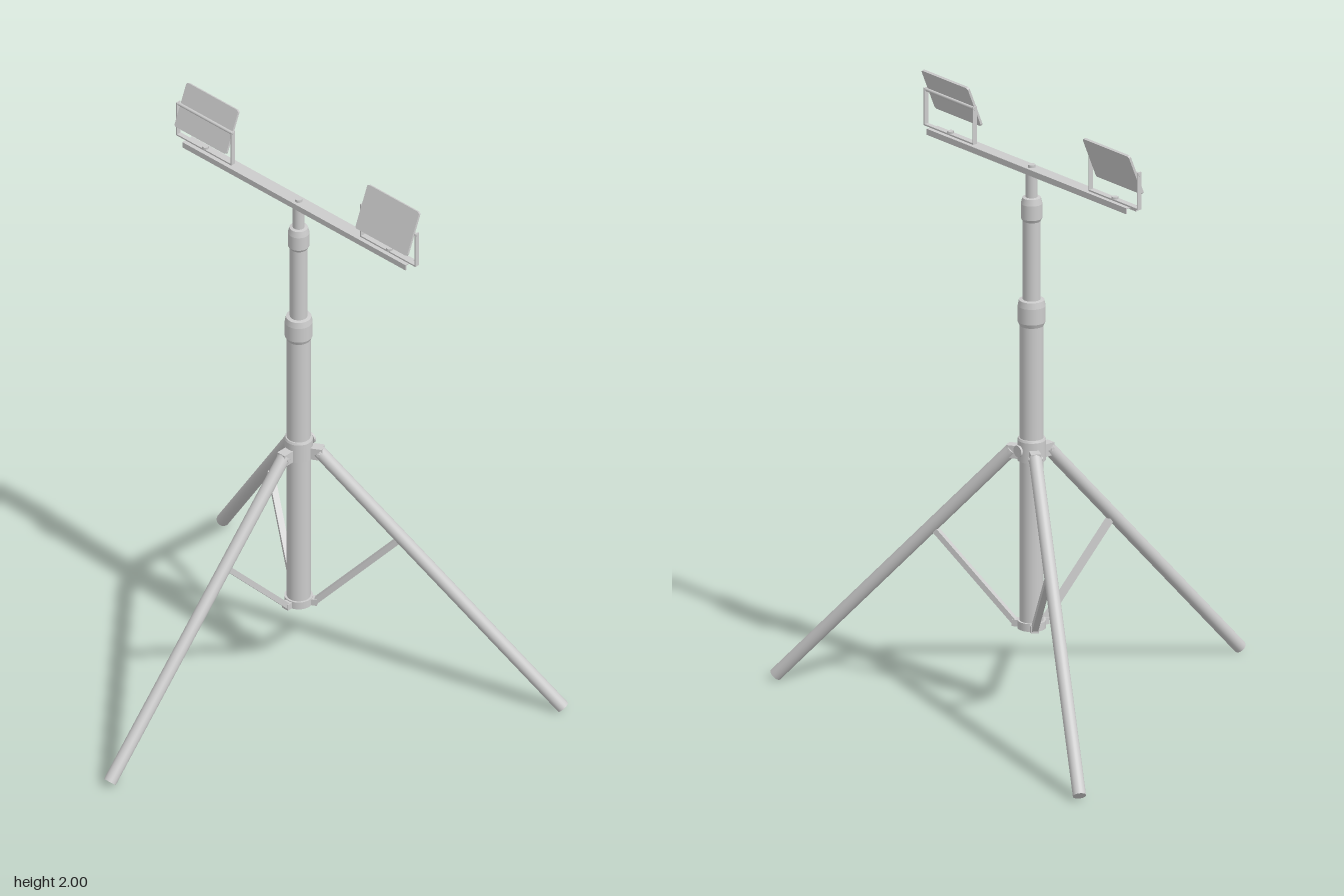
import * as THREE from 'three';

const MAST_X = 0.21;
const grey = new THREE.MeshStandardMaterial({ color: 0xcccccc, side: THREE.DoubleSide });
const V = (x, y, z) => new THREE.Vector3(x, y, z);

function add(parent, name, geometry, x = 0, y = 0, z = 0) {
  const mesh = new THREE.Mesh(geometry, grey);
  mesh.name = name;
  mesh.position.set(x, y, z);
  parent.add(mesh);
  return mesh;
}

// Places a mesh whose length runs along y between two points
function between(parent, name, a, b, makeGeometry) {
  const mesh = add(parent, name, makeGeometry(a.distanceTo(b)));
  mesh.position.lerpVectors(a, b, 0.5);
  mesh.quaternion.setFromUnitVectors(V(0, 1, 0), b.clone().sub(a).normalize());
  return mesh;
}

// Turned part with crisp edges: each profile segment is its own lathe band
function turned(parent, name, profile) {
  const group = new THREE.Group();
  group.name = name;
  for (let i = 0; i < profile.length - 1; i++) {
    const band = [profile[i], profile[i + 1]].map(([r, y]) => new THREE.Vector2(r, y));
    add(group, name + 'Band', new THREE.LatheGeometry(band, 32));
  }
  parent.add(group);
}

// Leg with its hub lug, foot lug and brace, pointing along local +x
function makeLeg(angle) {
  const leg = new THREE.Group();
  leg.name = 'leg';
  leg.rotation.y = angle;
  const top = V(0.064, 0.866, 0), foot = V(0.853, 0.018, 0);
  between(leg, 'legTube', top, foot, l => new THREE.CylinderGeometry(0.021, 0.021, l, 24));
  add(leg, 'hubLug', new THREE.BoxGeometry(0.05, 0.042, 0.032), 0.055, 0.86, 0);
  add(leg, 'braceLug', new THREE.BoxGeometry(0.03, 0.022, 0.026), 0.047, 0.291, 0);
  between(leg, 'brace', V(0.055, 0.292, 0), V(0.325, 0.57, 0),
    l => new THREE.BoxGeometry(0.018, l, 0.02));
  const pin = add(leg, 'hubPin', new THREE.CylinderGeometry(0.006, 0.006, 0.046, 12), 0.068, 0.862, 0);
  pin.rotation.x = Math.PI / 2;
  return leg;
}

// Rounded panel of the floodlight, standing in the yz plane
function panelGeometry(width, height, depth, r) {
  const w = width / 2, h = height / 2, s = new THREE.Shape();
  s.absarc(w - r, h - r, r, 0, Math.PI / 2);
  s.absarc(-w + r, h - r, r, Math.PI / 2, Math.PI);
  s.absarc(-w + r, -h + r, r, Math.PI, Math.PI * 1.5);
  s.absarc(w - r, -h + r, r, Math.PI * 1.5, Math.PI * 2);
  return new THREE.ExtrudeGeometry(s, { depth, bevelEnabled: false, curveSegments: 5 })
    .translate(0, 0, -depth / 2).rotateY(Math.PI / 2);
}

// Floodlight on a U bracket; side sets which face of the rod carries the panel
function makeLamp(z, side) {
  const lamp = new THREE.Group();
  lamp.name = 'lamp';
  lamp.position.z = z;
  add(lamp, 'bracketBase', new THREE.BoxGeometry(0.016, 0.005, 0.24), 0, 1.8125, 0);
  for (const s of [-1, 1]) {
    add(lamp, 'bracketArm', new THREE.BoxGeometry(0.016, 0.125, 0.004), 0, 1.8725, s * 0.118);
  }
  const rod = add(lamp, 'pivotRod', new THREE.CylinderGeometry(0.0055, 0.0055, 0.244, 12), 0, 1.928, 0);
  rod.rotation.x = Math.PI / 2;
  const head = new THREE.Group();
  head.name = 'lampHead';
  head.position.y = 1.928;
  head.rotation.z = -0.39;
  add(head, 'panel', panelGeometry(0.225, 0.15, 0.008, 0.008), side * 0.0075, 0, 0);
  lamp.add(head);
  add(lamp, 'bracketBolt', new THREE.CylinderGeometry(0.011, 0.011, 0.009, 6), 0, 1.818, 0);
  return lamp;
}

export function createModel() {
  const model = new THREE.Group();
  model.name = 'lightStand';
  const stand = new THREE.Group();
  stand.name = 'stand';
  stand.position.x = MAST_X;
  model.add(stand);

  // Telescoping mast with clamp collars
  turned(stand, 'lowerMast', [[0, 0.285], [0.038, 0.285], [0.038, 1.37], [0, 1.37]]);
  turned(stand, 'middleMast', [[0.028, 1.36], [0.028, 1.71], [0, 1.71]]);
  turned(stand, 'upperMast', [[0.019, 1.7], [0.019, 1.803], [0, 1.803]]);
  turned(stand, 'lowerCollar', [[0.038, 1.285], [0.044, 1.298], [0.044, 1.35], [0.04, 1.37], [0.028, 1.372]]);
  turned(stand, 'upperCollar', [[0.028, 1.632], [0.034, 1.642], [0.034, 1.69], [0.029, 1.71], [0.019, 1.712]]);

  // Hub and bottom ring
  turned(stand, 'hub', [[0.037, 0.838], [0.045, 0.838], [0.045, 0.905], [0.042, 0.912], [0.037, 0.912]]);
  turned(stand, 'bottomRing', [[0, 0.279], [0.045, 0.279], [0.045, 0.305], [0.037, 0.305]]);

  // Locking knob on the hub
  const stem = add(stand, 'knobStem', new THREE.CylinderGeometry(0.008, 0.008, 0.022, 16), 0.048, 0.877, 0);
  const knob = add(stand, 'knob', new THREE.CylinderGeometry(0.019, 0.019, 0.007, 20), 0.055, 0.877, 0);
  stem.rotation.z = knob.rotation.z = Math.PI / 2;

  // Three legs
  for (let i = 0; i < 3; i++) stand.add(makeLeg(Math.PI + i * Math.PI * 2 / 3));

  // Crossbar, a channel open at the bottom
  add(stand, 'crossbarTop', new THREE.BoxGeometry(0.044, 0.004, 0.97), 0, 1.808, 0);
  for (const s of [-1, 1]) {
    add(stand, 'crossbarSide', new THREE.BoxGeometry(0.004, 0.02, 0.97), s * 0.02, 1.8, 0);
  }
  add(stand, 'centreBolt', new THREE.CylinderGeometry(0.012, 0.012, 0.01, 16), 0, 1.814, 0);

  // Two floodlights, mounted on opposite faces of their rods
  stand.add(makeLamp(0.395, -1), makeLamp(-0.405, 1));
  return model;
}
